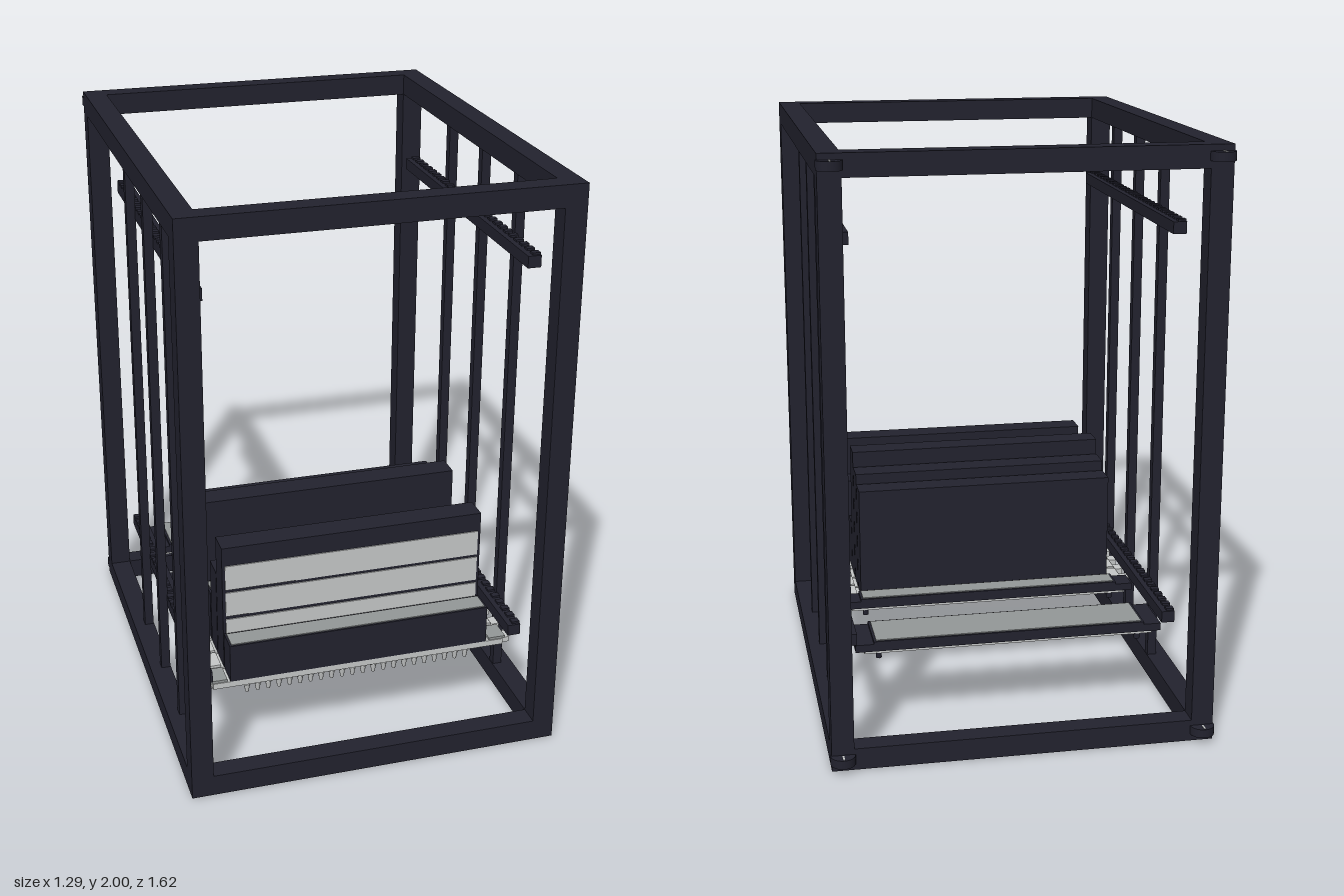
import * as THREE from 'three';

const material = (name, color) => {
  const m = new THREE.MeshStandardMaterial({ color });
  m.name = name;
  return m;
};

export function createModel() {
  const root = new THREE.Group();
  root.name = 'rackFrame';
  const dark = material('darkMetal', 0x22222e);
  const light = material('lightPlastic', 0xc6c8c8);
  const grey = material('greyPlate', 0x949898);

  const add = (name, geo, mat, x, y, z, parent = root) => {
    const m = new THREE.Mesh(geo, mat);
    m.name = name;
    m.position.set(x, y, z);
    parent.add(m);
    return m;
  };
  // Box given by its limits on each axis
  const box = (name, mat, [x0, x1], [y0, y1], [z0, z1], parent = root) =>
    add(name, new THREE.BoxGeometry(x1 - x0, y1 - y0, z1 - z0), mat,
      (x0 + x1) / 2, (y0 + y1) / 2, (z0 + z1) / 2, parent);
  const mirrored = (s, a, b) => (s > 0 ? [a, b] : [-b, -a]);

  const X = 0.642, T = 0.074, F = 0.81, B = -0.77;

  // Outer frame: posts, cross beams and side beams
  for (const s of [-1, 1]) {
    const side = mirrored(s, X - T, X);
    for (const z of [[F - T, F], [B, B + T]]) box('cornerPost', dark, side, [0, 2], z);
    for (const y of [[0, T], [2 - T, 2]]) box('sideBeam', dark, side, y, [B + T, F - T]);
  }
  for (const z of [[F - T, F], [B, B + T]])
    for (const y of [[0, T], [2 - T, 2]]) box('crossBeam', dark, [T - X, X - T], y, z);

  for (const s of [-1, 1]) {
    // Thin uprights on each side
    for (const z of [0.415, 0.105, -0.208])
      box('sideUpright', dark, mirrored(s, 0.57, 0.602), [T, 2 - T], [z - 0.016, z + 0.016]);
    // Card guide rails with small top studs
    for (const y of [0.33, 1.683]) {
      const rail = new THREE.Group();
      rail.name = 'guideRail';
      root.add(rail);
      box('railBar', dark, mirrored(s, 0.527, 0.572), [y, y + 0.04], [-0.53, 0.648], rail);
      for (let i = 0; i < 26; i++) {
        const z = -0.51 + i * 0.0455;
        box('railStud', dark, mirrored(s, 0.545, 0.572), [y + 0.04, y + 0.047], [z - 0.012, z + 0.012], rail);
      }
    }
    // Round feet on the rear corners
    for (const y of [0.04, 1.965]) {
      add('rearKnob', new THREE.CylinderGeometry(0.041, 0.041, 0.03, 24), dark, s * 0.605, y, B);
      box('knobSlot', light, [s * 0.605 - 0.003, s * 0.605 + 0.003], [y + 0.015, y + 0.017], [B - 0.035, B - 0.008]);
    }
  }

  // Slots from front to back: z limits, module height, and whether its top is grey
  const slots = [
    [0.535, 0.62, 0.44, true], [0.438, 0.526, 0.76, false], [0.345, 0.432, 0.62, false],
    [0.25, 0.335, 0.485, true], [0.158, 0.245, 0.79, false], [0.063, 0.15, 0.735, false],
    [-0.032, 0.055, 0.7, false],
  ];
  slots.forEach(([z0, z1, h, greyTop], n) => {
    const slot = new THREE.Group();
    slot.name = 'moduleSlot';
    root.add(slot);
    box('moduleBody', dark, [-0.46, 0.457], [0.303, h], [z0, z1], slot);
    if (greyTop) box('moduleTop', grey, [-0.453, 0.45], [h, h + 0.003], [z0 + 0.007, z1 - 0.007], slot);
    box('tray', light, [-0.52, 0.52], [0.282, 0.303], [z0, z1], slot);
    for (const s of [-1, 1]) {
      box('trayEnd', greyTop ? grey : light, mirrored(s, 0.47, greyTop ? 0.53 : 0.513), [0.303, 0.312], [z0 + 0.003, z1 - 0.003], slot);
      box('trayClip', light, mirrored(s, 0.48, 0.552), [0.275, 0.294], [z0 + 0.02, z1 - 0.02], slot);
      box('trayFoot', light, mirrored(s, 0.4, 0.42), [0.268, 0.282], [z0 + 0.035, z1 - 0.035], slot);
    }
    // Dark vents under the tray
    for (let i = 0; i < 9; i++) {
      const x = -0.4 + i * 0.1 + (n % 2) * 0.02;
      for (const z of [z0 + 0.022, z1 - 0.022])
        box('trayVent', dark, [x - 0.034, x + 0.034], [0.28, 0.282], [z - 0.008, z + 0.008], slot);
    }
  });

  // Three light panels on the tall front module
  for (const y of [0.4, 0.502, 0.603])
    box('frontPanel', light, [-0.45, 0.447], [y, y + 0.09], [0.526, 0.53]);

  // Row of plugs below the front tray
  for (let i = 0; i < 22; i++) {
    const x = -0.395 + i * 0.0376;
    add('plugCollar', new THREE.CylinderGeometry(0.015, 0.015, 0.02, 10), light, x, 0.272, 0.582);
    add('plugTip', new THREE.CylinderGeometry(0.012, 0.006, 0.034, 10), light, x, 0.248, 0.582);
  }

  // Empty shelves at the back with dark rims
  for (const [z0, z1] of [[-0.13, -0.045], [-0.51, -0.33]]) {
    const shelf = new THREE.Group();
    shelf.name = 'emptyShelf';
    root.add(shelf);
    box('shelfBase', dark, [-0.53, 0.53], [0.294, 0.32], [z0, z1], shelf);
    box('shelfRim', dark, [-0.47, 0.468], [0.32, 0.329], [z0, z1], shelf);
    box('shelfPlate', grey, [-0.462, 0.46], [0.329, 0.332], [z0 + 0.008, z1 - 0.008], shelf);
    box('shelfUnderside', light, [-0.5, 0.5], [0.284, 0.294], [z0 + 0.008, z1 - 0.008], shelf);
    for (const s of [-1, 1])
      for (const z of [z0 + 0.02, z1 - 0.02])
        add('shelfFoot', new THREE.CylinderGeometry(0.01, 0.01, 0.02, 10), dark, s * 0.45, 0.274, z, shelf);
    for (let i = 0; i < 9; i++) {
      const x = -0.4 + i * 0.1;
      box('shelfVent', dark, [x - 0.035, x + 0.035], [0.282, 0.284], [z0 + 0.025, z1 - 0.025], shelf);
    }
  }
  return root;
}
